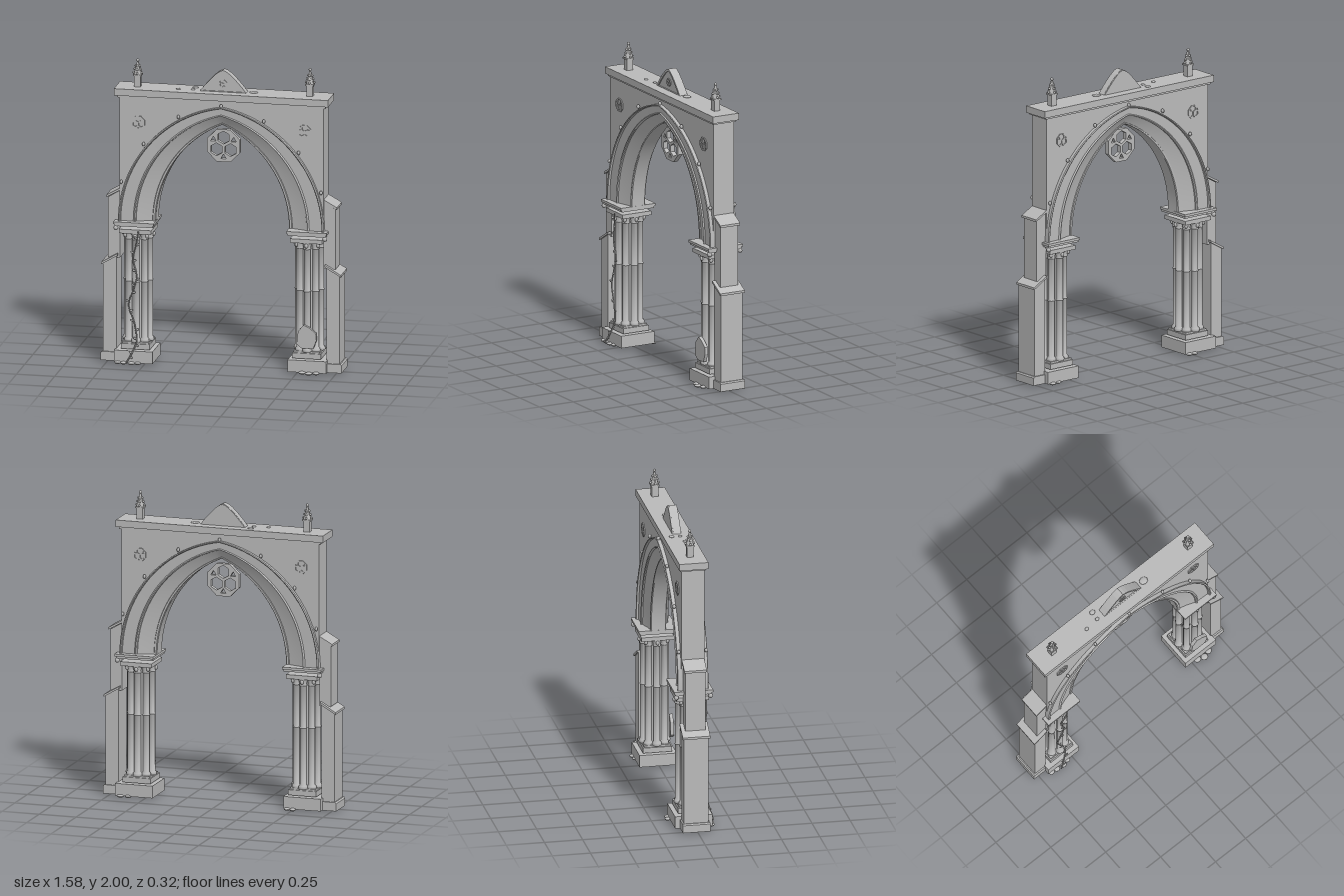
import * as THREE from 'three';
import { toCreasedNormals } from 'three/addons/utils/BufferGeometryUtils.js';

const stone = new THREE.MeshStandardMaterial({ color: 0xbababa });
stone.name = 'pale grey stone';

const SPRING = 0.94; // height where the arch begins
const PIER_X = 0.561;

function add(parent, name, geometry, x = 0, y = 0, z = 0) {
  const mesh = new THREE.Mesh(geometry, stone);
  mesh.name = name;
  mesh.position.set(x, y, z);
  parent.add(mesh);
  return mesh;
}

// Box given by its ranges in x and y, and its half depth
function block(parent, name, x0, x1, y0, y1, hz) {
  return add(parent, name, new THREE.BoxGeometry(x1 - x0, y1 - y0, hz * 2), (x0 + x1) / 2, (y0 + y1) / 2);
}

// Extrusion centred on z = 0
function slab(shape, depth) {
  return new THREE.ExtrudeGeometry(shape, { depth, bevelEnabled: false }).translate(0, 0, -depth / 2);
}

function polygon(n, r, cx = 0, cy = 0, turn = 0, Type = THREE.Shape) {
  const pts = [];
  for (let i = 0; i < n; i++) {
    const a = turn + (i / n) * Math.PI * 2;
    pts.push(new THREE.Vector2(cx + Math.cos(a) * r, cy + Math.sin(a) * r));
  }
  return new Type(pts);
}

// Points of a pointed arch from +x over the apex to -x
function pointedArch(hw, h, n = 24) {
  const cx = (hw * hw - h * h) / (2 * hw), r = hw - cx;
  const end = Math.atan2(h, -cx);
  const right = [];
  for (let i = 0; i <= n; i++) {
    const a = (end * i) / n;
    right.push(new THREE.Vector2(i === n ? 0 : cx + r * Math.cos(a), SPRING + r * Math.sin(a)));
  }
  const left = right.slice(0, n).reverse().map(p => new THREE.Vector2(-p.x, p.y));
  return right.concat(left);
}

// Moulded arch: a stepped profile swept round the opening
function archGeometry() {
  const front = [[0, 0.046], [0.02, 0.052], [0.075, 0.052], [0.09, 0.046], [0.3, 0.06], [0.51, 0.078], [0.52, 0.086],
    [0.55, 0.091], [0.58, 0.086], [0.59, 0.083], [0.93, 0.085], [0.94, 0.098], [0.965, 0.102], [1, 0.098]];
  const loop = front.concat(front.slice().reverse().map(([t, z]) => [t, -z]));
  const rails = loop.map(([t]) => pointedArch(0.437 + 0.238 * t, 0.665 + 0.125 * t));
  const m = loop.length, count = rails[0].length, pos = [], index = [];
  for (let i = 0; i < count; i++) {
    loop.forEach(([, z], j) => pos.push(rails[j][i].x, rails[j][i].y, z));
    if (i === count - 1) break;
    for (let j = 0; j < m; j++) {
      const a = i * m + j, b = i * m + ((j + 1) % m);
      index.push(a, b, a + m, b, b + m, a + m);
    }
  }
  const g = new THREE.BufferGeometry();
  g.setAttribute('position', new THREE.Float32BufferAttribute(pos, 3));
  g.setIndex(index);
  return toCreasedNormals(g, 0.4);
}

// Pierced tracery disc with three large and three small openings
function rosette(r, depth) {
  const s = polygon(8, r, 0, 0, Math.PI / 8);
  for (let i = 0; i < 3; i++) {
    const a = Math.PI / 2 + (i * Math.PI * 2) / 3, b = a + Math.PI / 3;
    s.holes.push(polygon(6, r * 0.37, Math.cos(a) * r * 0.46, Math.sin(a) * r * 0.46, a, THREE.Path));
    s.holes.push(polygon(3, r * 0.18, Math.cos(b) * r * 0.66, Math.sin(b) * r * 0.66, b + Math.PI, THREE.Path));
  }
  return slab(s, depth);
}

function blob(parent, name, x, y, z, sx, sy, sz) {
  const m = add(parent, name, new THREE.SphereGeometry(1, 8, 6), x, y, z);
  m.scale.set(sx, sy, sz);
  return m;
}

// Block reaching a little further on the outer side of the pier
function outerBlock(parent, name, side, inner, outer, y0, y1, hz) {
  block(parent, name, side > 0 ? -inner : -outer, side > 0 ? outer : inner, y0, y1, hz);
}

function pier(side) {
  const g = new THREE.Group();
  g.name = 'pier';
  g.position.x = side * PIER_X;
  outerBlock(g, 'plinth', side, 0.118, 0.135, 0.01, 0.09, 0.122);
  block(g, 'base', -0.094, 0.094, 0.095, 0.13, 0.094);
  block(g, 'baseTop', -0.086, 0.086, 0.128, 0.142, 0.086);
  add(g, 'core', new THREE.CylinderGeometry(0.064, 0.064, 0.74, 20), 0, 0.5);
  // Ring of slim shafts, each with foot, band and bell
  const profile = [[0.029, 0.138], [0.031, 0.148], [0.029, 0.158], [0.022, 0.166], [0.022, 0.535], [0.025, 0.54],
    [0.022, 0.545], [0.022, 0.815], [0.026, 0.82], [0.023, 0.83], [0.033, 0.866]].map(p => new THREE.Vector2(...p));
  const shaft = toCreasedNormals(new THREE.LatheGeometry(profile, 12), 0.9);
  for (let i = 0; i < 8; i++) {
    const a = (i * Math.PI) / 4;
    add(g, 'shaft', shaft, Math.cos(a) * 0.073, 0, Math.sin(a) * 0.073);
    blob(g, 'capitalLeaf', Math.cos(a) * 0.1, 0.845, Math.sin(a) * 0.1, 0.012, 0.016, 0.012);
  }
  block(g, 'capital', -0.106, 0.106, 0.863, 0.89, 0.106);
  outerBlock(g, 'abacus', side, 0.119, 0.13, 0.912, 0.928, 0.118);
  outerBlock(g, 'abacusTop', side, 0.125, 0.138, 0.926, 0.942, 0.127);
  for (const sz of [1, -1]) blob(g, 'abacusBoss', side * 0.124, 0.9, sz * 0.112, 0.016, 0.016, 0.016);
  return g;
}

function buttress(side) {
  const g = new THREE.Group();
  g.name = 'buttress';
  const piece = (name, pts, hz) => {
    const s = new THREE.Shape(pts.map(([x, y]) => new THREE.Vector2(side * x, y)));
    add(g, name, slab(s, hz * 2));
  };
  piece('foot', [[0.685, 0.01], [0.79, 0.01], [0.79, 0.06], [0.782, 0.068], [0.685, 0.068]], 0.09);
  piece('lowerStage', [[0.688, 0.06], [0.775, 0.06], [0.775, 0.652], [0.688, 0.705]], 0.08);
  piece('lowerCap', [[0.786, 0.645], [0.786, 0.66], [0.68, 0.722], [0.68, 0.707]], 0.09);
  piece('upperStage', [[0.668, 0.69], [0.745, 0.69], [0.745, 1.09], [0.668, 1.135]], 0.065);
  piece('upperCap', [[0.756, 1.088], [0.756, 1.103], [0.668, 1.152], [0.668, 1.137]], 0.073);
  return g;
}

function pinnacle(x) {
  const g = new THREE.Group();
  g.name = 'pinnacle';
  g.position.set(x, 1.815, 0);
  block(g, 'shaft', -0.021, 0.021, 0, 0.075, 0.021);
  block(g, 'collar', -0.027, 0.027, 0.073, 0.083, 0.027);
  add(g, 'spire', new THREE.CylinderGeometry(0.005, 0.032, 0.09, 4).rotateY(Math.PI / 4), 0, 0.125);
  for (let level = 0; level < 3; level++) for (let i = 0; i < 4; i++) {
    const a = (i * Math.PI) / 2, r = 0.027 - level * 0.007;
    blob(g, 'crocket', Math.cos(a) * r, 0.092 + level * 0.023, Math.sin(a) * r, 0.008, 0.008, 0.008);
  }
  blob(g, 'finial', 0, 0.175, 0, 0.01, 0.01, 0.01);
  return g;
}

// Pointed gable: plain at the back, rimmed at the front
function gable() {
  const g = new THREE.Group();
  g.name = 'gable';
  const half = [[0.155, 0], [0.118, 0.046], [0.08, 0.088], [0.045, 0.122], [0.02, 0.139], [0, 0.147]];
  const outline = (k, Type) => new Type(half.concat(half.slice(0, -1).reverse().map(([x, y]) => [-x, y]))
    .map(([x, y]) => new THREE.Vector2(x * k, y * k + (1 - k) * 0.045)));
  add(g, 'gablePanel', slab(outline(0.99, THREE.Shape), 0.05), 0, 1.812, -0.004);
  const rim = outline(1, THREE.Shape);
  rim.holes.push(outline(0.84, THREE.Path));
  add(g, 'gableRim', slab(rim, 0.05), 0, 1.813, 0.004);
  add(g, 'gableRosette', rosette(0.027, 0.008), 0, 1.87, 0.023);
  return g;
}

export function createModel() {
  const model = new THREE.Group();
  model.name = 'pointedArchway';
  const body = new THREE.Group();
  body.name = 'masonry';
  body.position.z = -0.012;
  model.add(body);

  // Spandrel wall above the arch
  const rim = pointedArch(0.615, 0.76);
  const wall = new THREE.Shape([new THREE.Vector2(-0.67, SPRING), ...rim.slice().reverse(),
    new THREE.Vector2(0.67, SPRING), new THREE.Vector2(0.67, 1.77), new THREE.Vector2(-0.67, 1.77)]);
  add(body, 'spandrelWall', slab(wall, 0.15));
  add(body, 'archMoulding', archGeometry());
  add(body, 'hangingRosette', rosette(0.116, 0.03), 0, 1.457);
  block(body, 'corniceBed', -0.682, 0.682, 1.758, 1.776, 0.083);
  block(body, 'cornice', -0.702, 0.702, 1.772, 1.817, 0.095);
  body.add(gable());

  for (const side of [1, -1]) {
    body.add(pier(side), buttress(side), pinnacle(side * 0.565));
    for (const sz of [1, -1]) {
      add(body, 'wallRoundel', rosette(0.046, 0.008), side * 0.545, 1.597, sz * 0.078);
      for (const [x, y] of [[0.28, 1.652], [0.508, 1.458], [0.655, 1.2]])
        blob(body, 'archCrocket', side * x, y, sz * 0.09, 0.01, 0.014, 0.012);
    }
  }
  for (const sz of [1, -1]) blob(body, 'archCrocket', 0, 1.738, sz * 0.09, 0.01, 0.014, 0.012);

  // Climbing vine on one pier
  const vine = new THREE.CatmullRomCurve3([[-0.61, 0.015, 0.135], [-0.575, 0.08, 0.118], [-0.548, 0.16, 0.1],
    [-0.565, 0.27, 0.094], [-0.602, 0.39, 0.09], [-0.57, 0.5, 0.092], [-0.55, 0.58, 0.09], [-0.575, 0.7, 0.092],
    [-0.55, 0.8, 0.1], [-0.535, 0.885, 0.108]].map(p => new THREE.Vector3(...p)));
  add(model, 'vineStem', new THREE.TubeGeometry(vine, 60, 0.005, 6));
  for (let i = 1; i < 17; i++) {
    const p = vine.getPoint(i / 17), s = i % 2 ? 1 : -1;
    blob(model, 'vineLeaf', p.x + s * 0.012, p.y, p.z + 0.004, 0.012, 0.007, 0.004).rotation.z = s * 0.6;
  }

  // Broken slab leaning on the other pier
  const chip = new THREE.Shape([[-0.065, -0.05], [-0.03, -0.078], [0.045, -0.075], [0.065, -0.02], [0.062, 0.025],
    [0.02, 0.06], [-0.02, 0.078], [-0.055, 0.035]].map(p => new THREE.Vector2(...p)));
  add(model, 'leaningSlab', slab(chip, 0.022), 0.565, 0.245, 0.092);

  // Rubble at the feet and on the cornice
  for (const [x, z, r] of [[-0.67, 0.11, 0.022], [-0.63, 0.115, 0.022], [-0.58, 0.118, 0.024], [-0.54, 0.11, 0.02],
    [-0.47, -0.14, 0.022], [-0.51, -0.145, 0.022], [0.54, 0.115, 0.025], [0.585, 0.13, 0.026], [0.63, 0.115, 0.024],
    [0.66, -0.135, 0.024], [0.61, -0.13, 0.022]])
    blob(model, 'rubble', x, 0.01, z, r, 0.01, r * 0.9);
  for (const [x, z, r] of [[-0.295, 0.01, 0.014], [-0.195, -0.055, 0.02], [-0.2, 0.0, 0.014], [0.195, -0.012, 0.03]])
    blob(model, 'cornicePebble', x, 1.818, z, r, 0.008, r * 0.85);
  return model;
}
